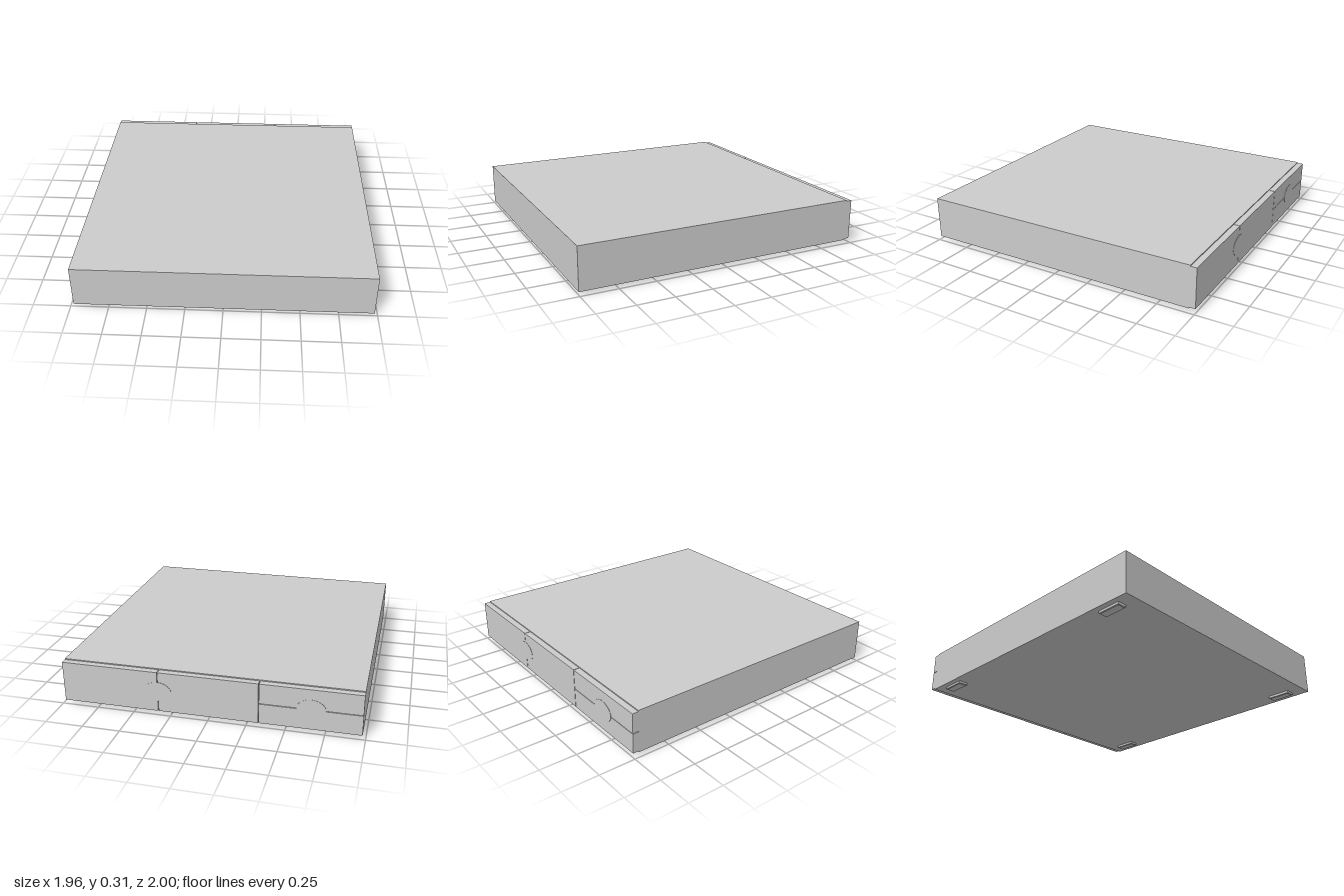
import * as THREE from 'three';

const grey = new THREE.MeshStandardMaterial({ color: 0xcccccc });

// Box given by its min and max along each axis
function box(name, [x0, x1], [y0, y1], [z0, z1]) {
  const mesh = new THREE.Mesh(new THREE.BoxGeometry(x1 - x0, y1 - y0, z1 - z0), grey);
  mesh.position.set((x0 + x1) / 2, (y0 + y1) / 2, (z0 + z1) / 2);
  mesh.name = name;
  return mesh;
}

export function createModel() {
  const group = new THREE.Group();
  group.name = 'drawerBase';

  // Main slab
  group.add(box('body', [-0.98, 0.98], [0.02, 0.31], [-0.955, 1]));

  // Back panels: two full-height, one split by a horizontal seam
  const depth = [-0.998, -0.955];
  const gap = 0.002;
  group.add(box('leftPanel', [0.33 + gap, 0.98], [0.028, 0.303], depth));
  group.add(box('middlePanel', [-0.33 + gap, 0.33 - gap], [0.028, 0.303], depth));
  group.add(box('upperRightPanel', [-0.98, -0.33 - gap], [0.165 + gap, 0.303], depth));
  group.add(box('lowerRightPanel', [-0.98, -0.33 - gap], [0.028, 0.165 - gap], depth));

  // Thin oval plates straddling the panel seams
  for (const x of [0.33, -0.66]) {
    const plate = new THREE.Mesh(new THREE.CylinderGeometry(1, 1, 0.003, 40), grey);
    plate.name = 'ovalPlate';
    plate.rotation.x = Math.PI / 2;
    plate.scale.set(0.092, 1, 0.067);
    plate.position.set(x, 0.167, -0.9985);
    group.add(plate);
  }

  // Four low feet with a small bevelled lower edge
  const outline = new THREE.Shape([[-1, -1], [1, -1], [1, 1], [-1, 1]]
    .map(([x, y]) => new THREE.Vector2(x * 0.027, y * 0.077)));
  const footGeometry = new THREE.ExtrudeGeometry(outline, {
    depth: 0.016, bevelEnabled: true, bevelSize: 0.005, bevelThickness: 0.004, bevelSegments: 1,
  }).rotateX(Math.PI / 2);
  for (const x of [-0.91, 0.885]) {
    for (const z of [-0.775, 0.82]) {
      const foot = new THREE.Mesh(footGeometry, grey);
      foot.name = 'foot';
      foot.position.set(x, 0.02, z);
      group.add(foot);
    }
  }
  return group;
}
